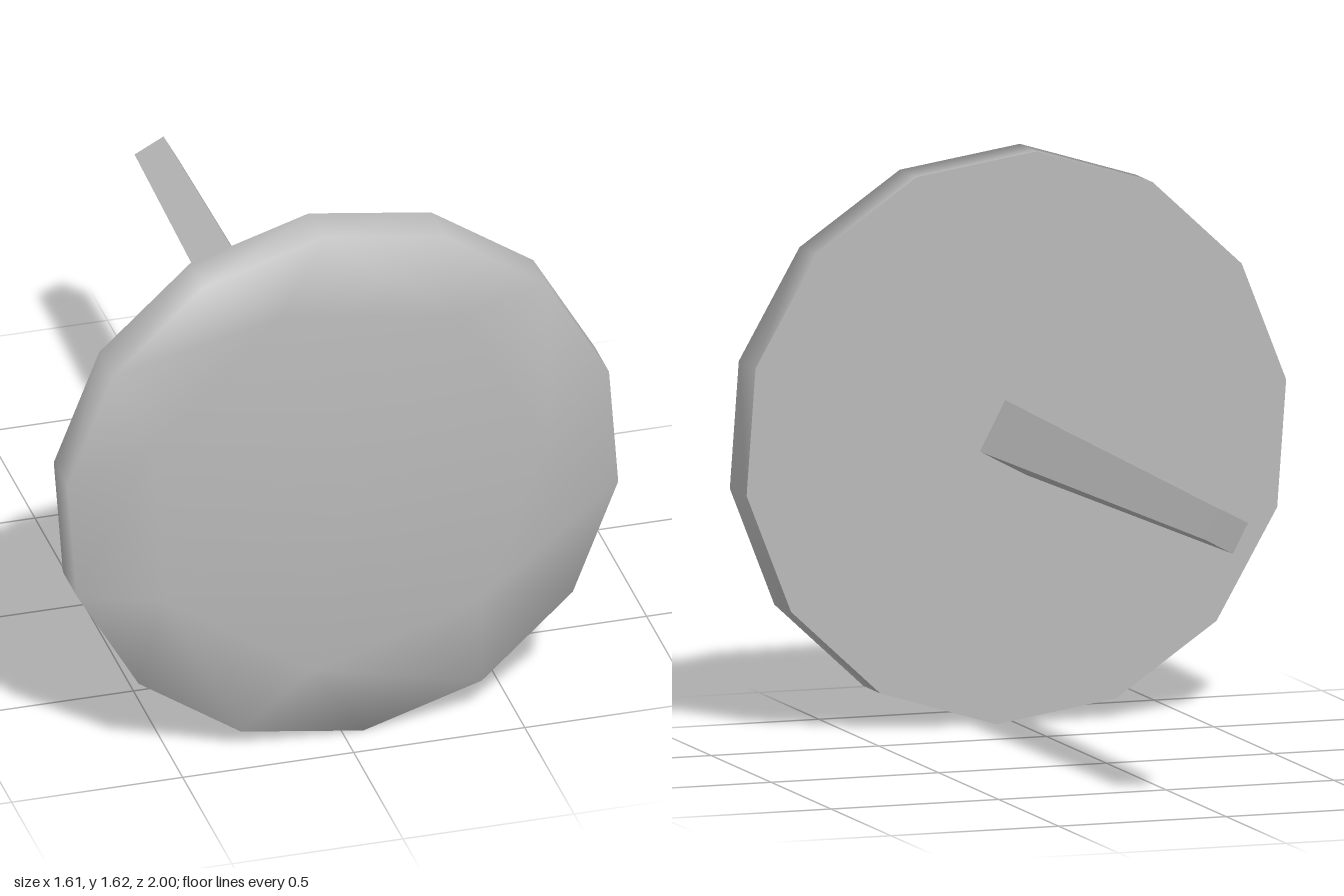
import * as THREE from 'three';

const RIM = 14, CENTRE_Y = 0.814;
const rad = THREE.MathUtils.degToRad;

// Indexed geometry, so shared corners get smooth normals
function surface(points, index) {
  const g = new THREE.BufferGeometry();
  g.setAttribute('position', new THREE.Float32BufferAttribute(points.flat(), 3));
  g.setIndex(index);
  g.computeVertexNormals();
  return g;
}

// Regular polygon of points facing +z
function ring(sides, radius, startDeg, z) {
  return Array.from({ length: sides }, (_, i) => {
    const a = rad(startDeg) + (i / sides) * Math.PI * 2;
    return [Math.cos(a) * radius, Math.sin(a) * radius, z];
  });
}

export function createModel() {
  const grey = new THREE.MeshStandardMaterial({ color: 0xb8b8b8 });
  grey.name = 'grey';
  grey.side = THREE.DoubleSide;
  const flatGrey = grey;

  const model = new THREE.Group();
  model.name = 'disc on a stem';
  const add = (name, geometry) => {
    const mesh = new THREE.Mesh(geometry, flatGrey);
    mesh.name = name;
    mesh.position.y = CENTRE_Y;
    model.add(mesh);
  };

  // Domed head: rim band, flat ring and shallow seven-sided cone in one smooth skin
  const start = 4.24 - 180 / RIM;
  const back = ring(RIM, 0.814, start, 0.75);
  const front = ring(RIM, 0.814, start, 0.89);
  const inner = ring(RIM / 2, 0.597, 4.24, 0.89);
  const points = [...back, ...front, ...inner, [0, 0, 1]];
  const F = RIM, N = RIM * 2, APEX = points.length - 1;
  const index = [];
  for (let i = 0; i < RIM; i++) {
    const j = (i + 1) % RIM;
    index.push(i, j, F + j, i, F + j, F + i);
  }
  for (let k = 0; k < RIM / 2; k++) {
    const a = N + k, b = N + ((k + 1) % (RIM / 2));
    const r0 = F + 2 * k, r1 = r0 + 1, r2 = F + ((2 * k + 2) % RIM);
    index.push(a, r0, r1, a, r1, r2, a, r2, b, a, b, APEX);
  }
  add('discFront', surface(points, index));

  // Flat back of the disc
  const fan = [];
  for (let i = 1; i < RIM - 1; i++) fan.push(0, i + 1, i);
  add('discBack', surface(back, fan));

  // Tapered square stem, open at its far end, with one flat normal per side
  const stem = new THREE.CylinderGeometry(0.068, 0.114, 1.75, 4, 1, true, rad(17))
    .rotateX(-Math.PI / 2)
    .translate(0, 0, -0.125)
    .toNonIndexed();
  stem.computeVertexNormals();
  add('stem', stem);

  return model;
}
